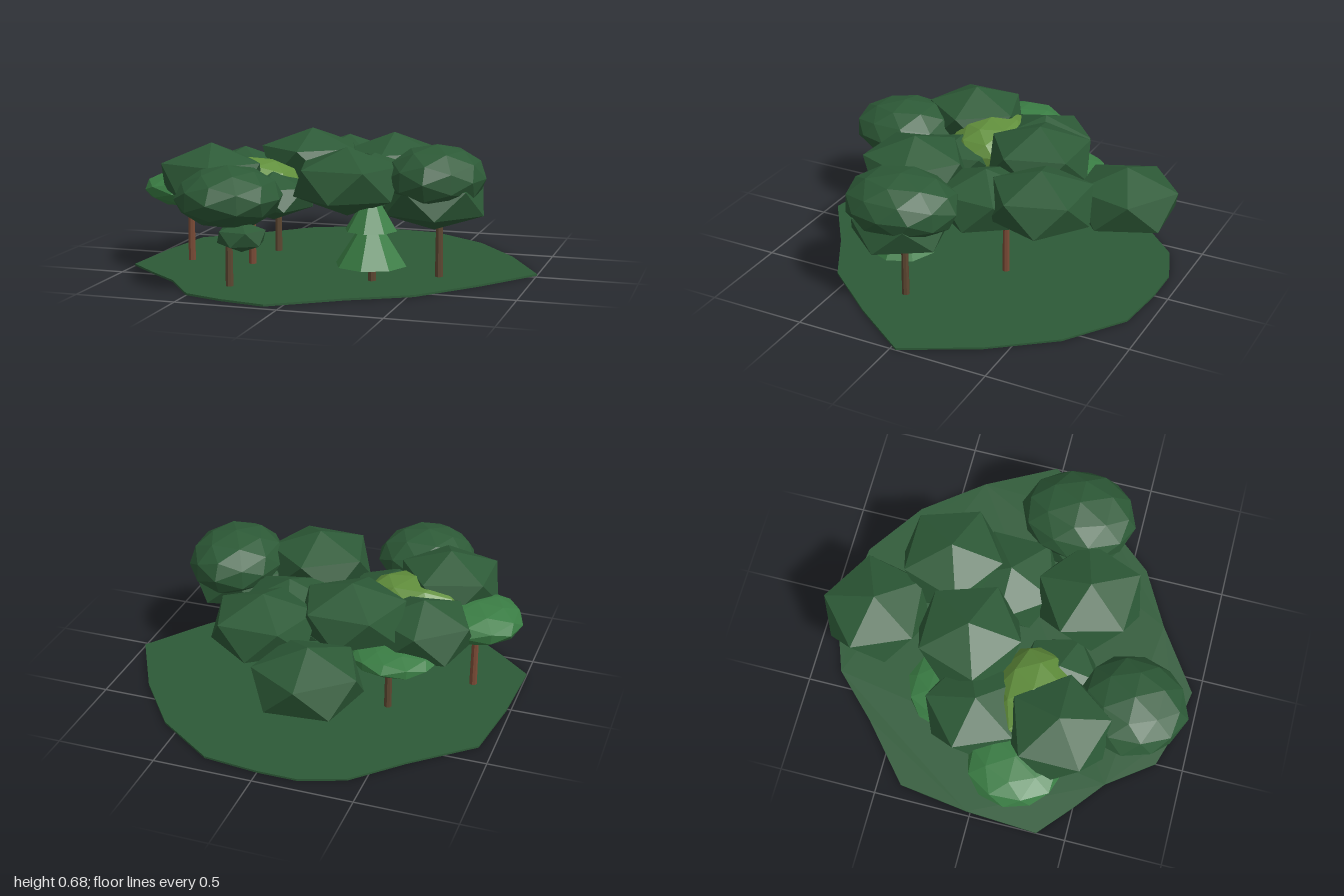
import * as THREE from 'three';

const mat = (color) => new THREE.MeshStandardMaterial({ color, flatShading: true });
const leaf = mat(0x2d5a37), lightLeaf = mat(0x3a7d44), limeLeaf = mat(0x618f3c);
const redBark = mat(0x7a4a35), bark = mat(0x5c4630);

export function createModel() {
  const model = new THREE.Group();

  function add(name, geometry, material, x = 0, y = 0, z = 0) {
    const mesh = new THREE.Mesh(geometry, material);
    mesh.name = name;
    mesh.position.set(x, y, z);
    model.add(mesh);
    return mesh;
  }

  // Thin irregular ground slab
  const outline = [
    [-0.2, -0.93], [0, -0.93], [0.28, -0.9], [0.58, -0.69], [0.81, -0.39], [1, -0.03], [0.78, 0.28],
    [0.53, 0.58], [0.24, 0.74], [-0.08, 0.96], [-0.31, 0.92], [-0.5, 0.86], [-0.67, 0.63],
    [-0.83, 0.5], [-1, 0.35], [-0.98, -0.02], [-0.93, -0.38], [-0.64, -0.63], [-0.42, -0.85],
  ];
  const shape = new THREE.Shape(outline.map(([x, z]) => new THREE.Vector2(x, -z)));
  const slab = new THREE.ExtrudeGeometry(shape, { depth: 0.01, bevelEnabled: false });
  add('ground', slab.rotateX(-Math.PI / 2), leaf);

  // Trunks: x, z, height, bark
  const trunks = [
    [-0.76, 0.17, 0.38, redBark], [-0.43, 0.16, 0.42, redBark], [-0.41, -0.18, 0.36, bark],
    [-0.36, 0.66, 0.42, bark], [0.12, -0.17, 0.42, redBark], [0.55, 0.17, 0.42, bark],
    [0.26, 0.35, 0.3, bark],
  ];
  for (const [x, z, h, m] of trunks) {
    add('trunk', new THREE.CylinderGeometry(0.016, 0.02, h, 8), m, x, h / 2, z);
  }

  // Faceted crowns: icosahedra standing on a vertex, squashed; angle places a ring corner
  function facetedCrown(x, y, z, r, ry, angle) {
    const g = new THREE.IcosahedronGeometry(1, 0);
    g.rotateX(-Math.atan((1 + Math.sqrt(5)) / 2));
    g.rotateY(THREE.MathUtils.degToRad(90 - angle));
    g.scale(r, ry, r);
    add('facetedCrown', g, leaf, x, y, z);
  }
  const crowns = [
    [-0.17, 0.41, -0.69, 0.295, 0.17, -95],
    [0.17, 0.475, -0.38, 0.29, 0.168, 90],
    [-0.22, 0.505, -0.19, 0.295, 0.17, 90],
    [-0.57, 0.485, 0.35, 0.285, 0.168, 0],
    [0.13, 0.49, 0.34, 0.295, 0.168, -87],
    [0.15, 0.41, -0.07, 0.28, 0.165, -35],
    [-0.55, 0.415, -0.07, 0.28, 0.165, -95],
    [0.53, 0.4, 0.2, 0.28, 0.15, 40],
    [-0.27, 0.39, 0.28, 0.22, 0.12, 20],
    [-0.27, 0.27, 0.73, 0.13, 0.075, 60],
  ];
  for (const c of crowns) facetedCrown(...c);

  // Rounded crowns: finer icosahedra with an uneven surface
  function roundCrown(name, material, [x, y, z], [rx, ry, rz], jitter, seed) {
    const g = new THREE.IcosahedronGeometry(1, 1);
    const p = g.attributes.position, v = new THREE.Vector3();
    for (let i = 0; i < p.count; i++) {
      v.fromBufferAttribute(p, i);
      const wave = Math.sin(v.x * 3.1 + seed) + Math.sin(v.y * 3.7 + seed * 2) + Math.sin(v.z * 3.4 + seed * 3);
      v.multiplyScalar(1 + jitter * wave / 3);
      p.setXYZ(i, v.x, v.y, v.z);
    }
    g.scale(rx, ry, rz);
    g.computeVertexNormals();
    add(name, g, material, x, y, z);
  }
  roundCrown('roundCrown', leaf, [-0.36, 0.445, 0.675], [0.26, 0.15, 0.27], 0.06, 1);
  roundCrown('roundCrown', leaf, [0.54, 0.51, 0.185], [0.25, 0.155, 0.295], 0.04, 2);
  roundCrown('lightCrown', lightLeaf, [-0.76, 0.39, 0.18], [0.235, 0.09, 0.24], 0.08, 3);
  roundCrown('lightCrown', lightLeaf, [-0.45, 0.345, -0.22], [0.22, 0.065, 0.22], 0.1, 4);
  roundCrown('limeCrown', limeLeaf, [-0.43, 0.44, 0.19], [0.25, 0.12, 0.22], 0.14, 5);

  // Conifer: stacked cones, base height, radius, cone height
  for (const [y, r, h] of [[0.09, 0.178, 0.27], [0.26, 0.13, 0.21], [0.4, 0.085, 0.14]]) {
    add('coniferTier', new THREE.ConeGeometry(r, h, 8), lightLeaf, 0.255, y + h / 2, 0.35);
  }

  return model;
}
